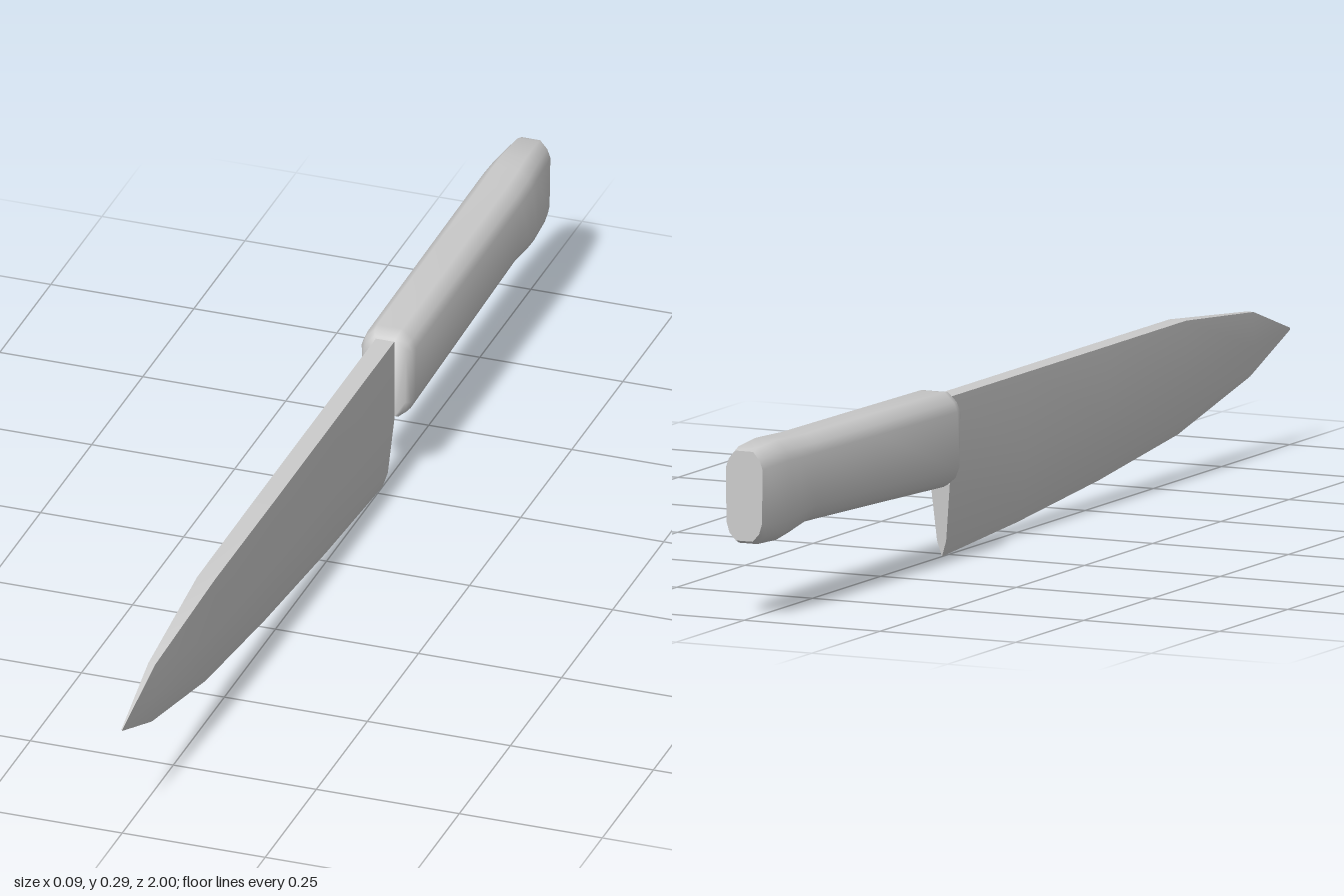
import * as THREE from 'three';
import { toCreasedNormals } from 'three/addons/utils/BufferGeometryUtils.js';

// Skin a row of closed cross-sections (counter-clockwise seen from +z, ordered back to front).
function loft(sections, crease) {
  const n = sections[0].length;
  const index = [];
  for (let i = 0; i < sections.length - 1; i++) {
    for (let j = 0; j < n; j++) {
      const k = (j + 1) % n;
      const a = i * n + j, b = i * n + k;
      index.push(a, b, b + n, a, b + n, a + n);
    }
  }
  const last = (sections.length - 1) * n;
  for (let j = 1; j < n - 1; j++) {
    index.push(0, j + 1, j, last, last + j, last + j + 1);
  }
  const geometry = new THREE.BufferGeometry();
  geometry.setAttribute('position', new THREE.Float32BufferAttribute(sections.flat(2), 3));
  geometry.setIndex(index);
  return toCreasedNormals(geometry, crease);
}

// Mirror the right half of a section (bottom to top) into a closed loop.
function mirrored(half) {
  const other = half.filter(([x]) => x > 0).reverse().map(([x, y, z]) => [-x, y, z]);
  return [...half, ...other];
}

// Wedge section: flat spine, near-parallel flanks, bevel down to a sharp edge.
function bladeSection([z, edge, spine, w]) {
  const h = spine - edge;
  const heel = z < -0.2 ? 0.014 : 0; // the heel slants slightly
  return mirrored([
    [0, edge, z + heel],
    [w * 0.47, edge + h * 0.1, z + heel * 0.9],
    [w, edge + h * 0.47, z + heel * 0.53],
    [w * 0.9, spine, z],
  ]);
}

// Handle section: a tall rectangle with large chamfers.
function handleSection([z, bottom, top, w]) {
  const c = (top - bottom) * 0.2;
  return mirrored([
    [w * 0.45, bottom, z],
    [w * 0.8, bottom + c * 0.42, z],
    [w * 0.96, bottom + c, z],
    [w, top - c, z],
    [w * 0.85, top - c * 0.5, z],
    [w * 0.48, top, z],
  ]);
}

export function createModel() {
  const group = new THREE.Group();
  group.name = 'knife';
  const material = new THREE.MeshStandardMaterial({ color: 0xcccccc });
  const add = (name, geometry) => {
    const mesh = new THREE.Mesh(geometry, material);
    mesh.name = name;
    group.add(mesh);
  };

  // Blade stations: z, edge height, spine height, half thickness
  const blade = [
    [-0.289, 0.003, 0.271, 0.018],
    [0, 0.02, 0.271, 0.018],
    [0.3, 0.046, 0.271, 0.018],
    [0.59, 0.08, 0.271, 0.017],
    [0.855, 0.138, 0.246, 0.007],
    [1, 0.194, 0.198, 0.001],
  ];
  add('blade', loft(blade.map(bladeSection), 0.4));

  // Handle stations: z, bottom, top, half width
  const handle = [
    [-1, 0.135, 0.285, 0.034],
    [-0.985, 0.129, 0.29, 0.037],
    [-0.92, 0.127, 0.294, 0.042],
    [-0.88, 0.133, 0.292, 0.045],
    [-0.82, 0.143, 0.289, 0.046],
    [-0.6, 0.136, 0.287, 0.046],
    [-0.31, 0.126, 0.284, 0.046],
    [-0.295, 0.127, 0.282, 0.044],
    [-0.286, 0.132, 0.276, 0.037],
  ];
  add('handle', loft(handle.map(handleSection), 1.0));

  return group;
}
